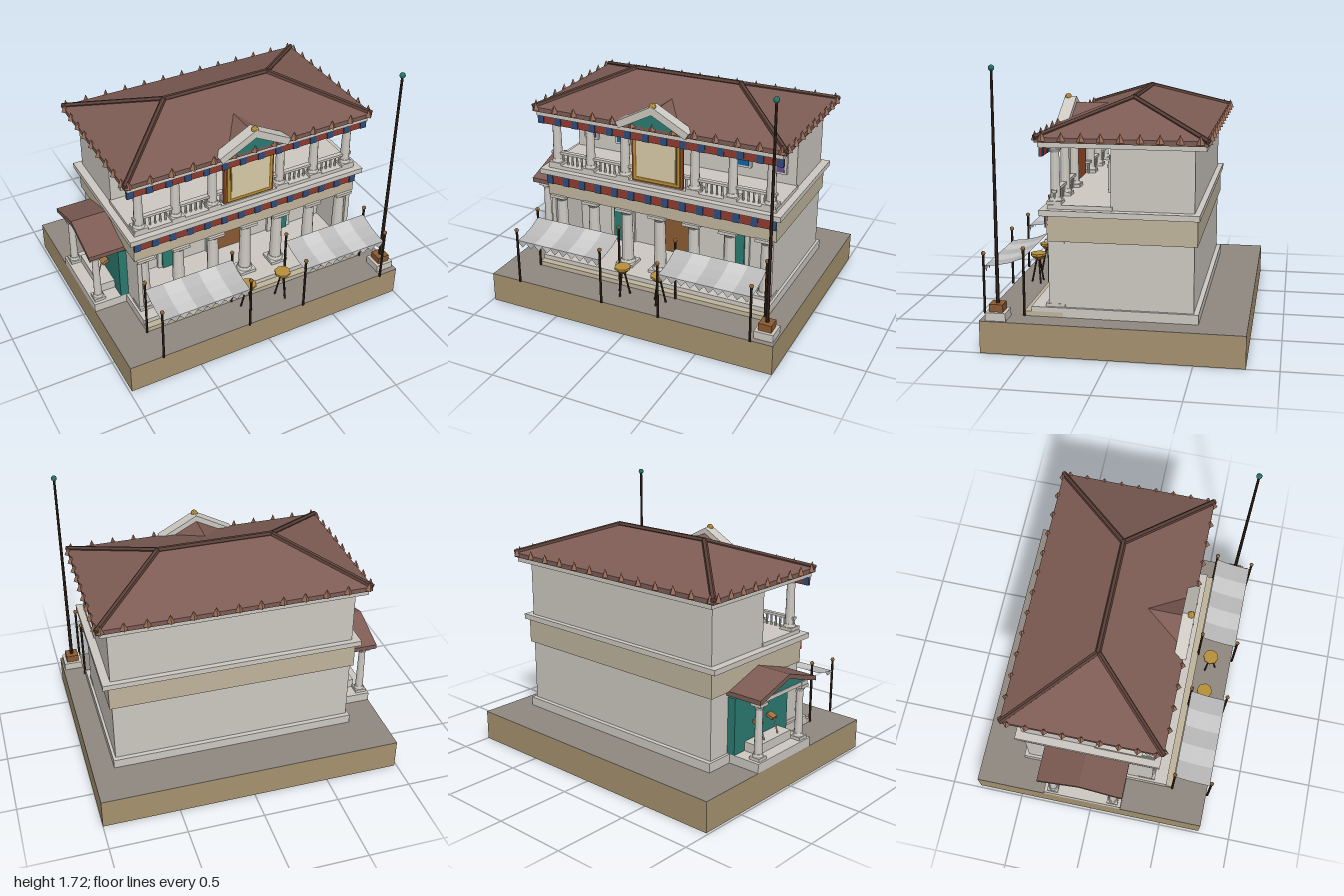
import * as THREE from 'three';
import { ConvexGeometry } from 'three/addons/geometries/ConvexGeometry.js';

const V = (x, y, z) => new THREE.Vector3(x, y, z);
const mats = {};
const mat = (color) => (mats[color] ??= new THREE.MeshStandardMaterial({ color, flatShading: true }));
const STONE = 0xcdc9c2, BEIGE = 0xbfb49c, ROOF = 0x7d5c54, RIDGE = 0x5a4038, TEAL = 0x2a7a70, WOOD = 0x8a5a32;
const RED = 0x8f3a2e, BLUE = 0x2c4c7c, GOLD = 0xb8903a, DARK = 0x3a2a20, COPPER = 0xa0703c, PURPLE = 0x6a4a90;

function add(parent, name, geo, color) {
  const m = new THREE.Mesh(geo, mat(color));
  m.name = name;
  parent.add(m);
  return m;
}
function group(parent, name, x = 0, y = 0, z = 0) {
  const g = new THREE.Group();
  g.name = name;
  g.position.set(x, y, z);
  parent.add(g);
  return g;
}
// box given by its limits
function box(p, name, color, x0, x1, y0, y1, z0, z1) {
  const m = add(p, name, new THREE.BoxGeometry(x1 - x0, y1 - y0, z1 - z0), color);
  m.position.set((x0 + x1) / 2, (y0 + y1) / 2, (z0 + z1) / 2);
  return m;
}
function cyl(p, name, color, x, z, y0, y1, r0, r1 = r0, sides = 12) {
  const m = add(p, name, new THREE.CylinderGeometry(r1, r0, y1 - y0, sides), color);
  m.position.set(x, (y0 + y1) / 2, z);
}
function ball(p, name, color, x, y, z, r) {
  add(p, name, new THREE.IcosahedronGeometry(r, 1), color).position.set(x, y, z);
}
// rod or beam between two points
function rod(p, name, color, a, b, r) {
  const m = add(p, name, new THREE.CylinderGeometry(r, r, a.distanceTo(b), 6), color);
  m.position.copy(a).lerp(b, 0.5);
  m.quaternion.setFromUnitVectors(V(0, 1, 0), b.clone().sub(a).normalize());
}
const outline = (pts) => new THREE.Shape(pts.map(([x, y]) => new THREE.Vector2(x, y)));
// flat shape extruded from z0 to z1
function slab(p, name, color, shape, z0, z1) {
  const m = add(p, name, new THREE.ExtrudeGeometry(shape, { depth: z1 - z0, bevelEnabled: false, curveSegments: 10 }), color);
  m.position.z = z0;
  return m;
}
function column(p, x, z, y0, y1, r) {
  const g = group(p, 'column', x, 0, z), w = r * 1.45;
  box(g, 'columnPlinth', STONE, -w, w, y0, y0 + 0.02, -w, w);
  cyl(g, 'columnBase', STONE, 0, 0, y0 + 0.02, y0 + 0.04, r * 1.3, r * 1.1);
  cyl(g, 'columnShaft', STONE, 0, 0, y0 + 0.04, y1 - 0.045, r, r * 0.84);
  cyl(g, 'columnCapital', STONE, 0, 0, y1 - 0.045, y1 - 0.02, r * 0.9, r * 1.35);
  box(g, 'columnAbacus', STONE, -w, w, y1 - 0.02, y1, -w, w);
}
function archShape(x, hw, y0, spring) {
  const s = new THREE.Shape();
  s.moveTo(x - hw, y0);
  s.lineTo(x + hw, y0);
  s.lineTo(x + hw, spring);
  s.absarc(x, spring, hw, 0, Math.PI, false);
  return s;
}
function archDoor(p, x, hw, spring, z, color, fan) {
  slab(p, 'doorSurround', STONE, archShape(x, hw + 0.03, 0.26, spring), z, z + 0.02);
  slab(p, 'doorFanlight', fan, archShape(x, hw, 0.26, spring), z, z + 0.027);
  if (fan !== color) box(p, 'doorLeaf', color, x - hw, x + hw, 0.26, spring, z, z + 0.032);
}
// red band with evenly spaced blue blocks
function frieze(p, hw, y0, y1, z0, z1) {
  box(p, 'friezeBand', RED, -hw, hw, y0, y1, z0, z1);
  const n = 14, w = 0.044;
  for (let i = 0; i < n; i++) {
    const x = -hw + w / 2 + (i * (2 * hw - w)) / (n - 1);
    box(p, 'friezeBlock', BLUE, x - w / 2, x + w / 2, y0, y1 + 0.001, z0 - 0.002, z1 + 0.006);
  }
}

function awning(p, x0, x1) {
  const g = group(p, 'awning'), n = 5, w = (x1 - x0) / n, h = w / 2;
  const sag = [[0.54, 0.56], [0.62, 0.526], [0.70, 0.508], [0.78, 0.50]];
  for (let i = 0; i < n; i++) {
    const color = i % 2 ? 0xe2e2e2 : 0xb8b8b8, xa = x0 + i * w;
    const geo = new THREE.PlaneGeometry(w, 1, 1, 3), pos = geo.attributes.position;
    for (let k = 0; k < pos.count; k++) {
      const [z, y] = sag[Math.floor(k / 2)];
      pos.setXYZ(k, xa + (k % 2) * w, y, z);
    }
    const cloth = add(g, 'awningCloth', geo, color);
    const hem = add(g, 'awningHem', new THREE.ShapeGeometry(outline(
      [[0, 0.5], [0, 0.49], [h / 2, 0.455], [h, 0.49], [1.5 * h, 0.455], [w, 0.49], [w, 0.5]]
        .map(([x, y]) => [xa + x, y]))), color);
    hem.position.z = 0.78;
    for (const m of [cloth, hem]) m.material.side = THREE.DoubleSide;
  }
  for (const x of [x0, x1]) for (const [z, top] of [[0.54, 0.61], [0.788, 0.57]]) {
    cyl(g, 'awningPost', DARK, x, z, 0.2, top, 0.008, 0.008, 8);
    ball(g, 'awningPostKnob', COPPER, x, top + 0.008, z, 0.014);
  }
}

function brazier(p, x) {
  const g = group(p, 'brazier', x, 0, 0.63);
  cyl(g, 'brazierBowl', COPPER, 0, 0, 0.355, 0.385, 0.022, 0.05, 8);
  cyl(g, 'brazierRim', GOLD, 0, 0, 0.385, 0.4, 0.053, 0.053, 8);
  for (let i = 0; i < 3; i++) {
    const a = Math.PI / 2 + (i * 2 * Math.PI) / 3, c = Math.cos(a), s = Math.sin(a);
    rod(g, 'brazierLeg', DARK, V(0.01 * c, 0.365, 0.01 * s), V(0.045 * c, 0.2, 0.045 * s), 0.006);
  }
}

function roof(p) {
  const g = group(p, 'roof'), hx = 0.865, zf = 0.445, zb = -0.565, zr = -0.06, rx = 0.37, pts = [];
  for (const s of [-1, 1]) {
    for (const z of [zf, zb]) {
      pts.push(V(s * hx, 1.27, z), V(s * hx, 1.3, z));
      rod(g, 'hipTile', RIDGE, V(s * hx, 1.3, z), V(s * rx, 1.485, zr), 0.018);
    }
    pts.push(V(s * rx, 1.485, zr));
  }
  add(g, 'roofHip', new ConvexGeometry(pts), ROOF);
  rod(g, 'ridgeTile', RIDGE, V(-rx - 0.01, 1.485, zr), V(rx + 0.01, 1.485, zr), 0.018);
  // pointed ornaments along the eaves
  const spike = (x, z) => cyl(g, 'eaveOrnament', 0x9a6c58, x, z, 1.28, 1.335, 0.024, 0.001, 4);
  for (let i = -6; i <= 6; i++) for (const z of [zf, zb]) spike(i * 0.14, z);
  for (let i = -4; i <= 4; i++) for (const s of [-1, 1]) spike(s * hx, zr + i * 0.115);
  // small gable over the sign
  slab(g, 'gableRoof', ROOF, outline([[-0.21, 1.29], [0.21, 1.29], [0, 1.4]]), 0, 0.39);
  slab(g, 'gablePanel', TEAL, outline([[-0.2, 1.295], [0.2, 1.295], [0, 1.4]]), 0.38, 0.45);
  slab(g, 'gableRake', STONE, outline([[-0.25, 1.305], [-0.228, 1.265], [0, 1.385], [0.228, 1.265], [0.25, 1.305], [0, 1.44]]), 0.385, 0.462);
  ball(g, 'gableFinial', GOLD, 0, 1.435, 0.44, 0.023);
}

function sidePorch(p) {
  const g = group(p, 'sidePorch', 0, 0, -0.055);
  box(g, 'porchStep', STONE, -0.985, -0.74, 0.2, 0.26, -0.27, 0.27);
  box(g, 'porchInnerStep', STONE, -0.905, -0.74, 0.26, 0.32, -0.17, 0.17);
  box(g, 'porchDoorPanel', TEAL, -0.8, -0.74, 0.26, 0.63, -0.27, 0.27);
  for (const s of [-1, 1]) {
    column(g, -0.935, s * 0.21, 0.26, 0.63, 0.026);
    box(g, 'porchBeam', STONE, -0.97, -0.74, 0.63, 0.655, s * 0.21 - 0.03, s * 0.21 + 0.03);
    // angled holder with a brown block
    rod(g, 'holderArm', STONE, V(-0.875, 0.32, s * 0.07), V(-0.845, 0.415, s * 0.07), 0.005);
    box(g, 'holderBlock', COPPER, -0.85, -0.8, 0.415, 0.435, s * 0.07 - 0.025, s * 0.07 + 0.025).rotation.z = 0.4;
    // sloping roof plate
    const plate = slab(g, 'porchRoofSlope', ROOF, outline([[0, 0.735], [0, 0.765], [s * 0.285, 0.675], [s * 0.285, 0.645]]), 0, 0.27);
    plate.rotation.y = -Math.PI / 2;
    plate.position.x = -0.73;
  }
  box(g, 'porchFrontBeam', STONE, -0.965, -0.905, 0.63, 0.655, -0.24, 0.24);
  const gable = slab(g, 'porchGable', TEAL, outline([[-0.25, 0.652], [0.25, 0.652], [0, 0.738]]), 0, 0.22);
  gable.rotation.y = -Math.PI / 2;
  gable.position.x = -0.74;
}

export function createModel() {
  const root = new THREE.Group();
  root.name = 'townHouse';
  box(root, 'groundBase', 0xa5916e, -0.985, 1, 0, 0.196, -0.805, 0.78);
  box(root, 'groundPaving', 0x8f8880, -0.985, 1, 0.196, 0.2, -0.805, 0.78);

  const h = group(root, 'house', 0.047);
  box(h, 'frontStep', BEIGE, -0.81, 0.81, 0.2, 0.23, 0.3, 0.54);
  box(h, 'plinth', STONE, -0.81, 0.81, 0.2, 0.26, -0.515, 0.495);

  // ground floor with deep portico
  const wz = 0.06;
  box(h, 'groundFloor', STONE, -0.792, 0.792, 0.26, 0.68, -0.485, wz);
  for (const s of [-1, 1]) {
    const x = s * 0.777;
    box(h, 'porticoSideWall', STONE, x - 0.015, x + 0.015, 0.26, 0.68, wz, 0.39);
    archDoor(h, s * 0.425, 0.06, 0.52, wz, TEAL, s < 0 ? PURPLE : 0x1a1a9a);
  }
  archDoor(h, 0, 0.118, 0.468, wz, WOOD, WOOD);
  for (const x of [-0.735, -0.49, -0.24, 0, 0.24, 0.49, 0.735]) column(h, x, 0.35, 0.26, 0.675, 0.041);
  box(h, 'beamBand', BEIGE, -0.81, 0.81, 0.67, 0.83, -0.505, 0.392);
  frieze(h, 0.81, 0.755, 0.829, 0.385, 0.4);
  box(h, 'balconyCornice', STONE, -0.845, 0.845, 0.83, 0.865, -0.52, 0.432);
  box(h, 'balconyFloor', STONE, -0.8, 0.8, 0.865, 0.89, 0, 0.39);

  // upper floor and balcony
  box(h, 'upperFloor', STONE, -0.792, 0.792, 0.865, 1.25, -0.485, 0.01);
  for (const s of [-1, 1]) {
    for (const [x, color] of [[0.68, PURPLE], [0.44, 0x1462a4]]) {
      box(h, 'windowFrame', STONE, s * x - 0.052, s * x + 0.052, 0.96, 1.145, 0.01, 0.035);
      box(h, 'windowPane', color, s * x - 0.038, s * x + 0.038, 0.975, 1.13, 0.01, 0.04);
    }
    for (const x of [0.245, 0.5, 0.75]) column(h, s * x, 0.35, 0.89, 1.245, 0.031);
    const a = s * 0.165, b = s * 0.79;
    box(h, 'balconyRail', STONE, Math.min(a, b), Math.max(a, b), 0.96, 0.977, 0.335, 0.365);
    for (let i = 0; i < 18; i++) cyl(h, 'baluster', STONE, s * (0.185 + i * 0.035), 0.35, 0.89, 0.96, 0.007, 0.007, 6);
  }
  box(h, 'upperCornice', STONE, -0.845, 0.845, 1.24, 1.272, -0.555, 0.432);
  frieze(h, 0.845, 1.185, 1.24, 0.404, 0.416);

  // framed sign
  box(h, 'signOuterFrame', 0x9a4a28, -0.178, 0.178, 0.893, 1.225, 0.365, 0.385);
  box(h, 'signFrame', GOLD, -0.163, 0.163, 0.908, 1.22, 0.385, 0.4);
  box(h, 'signInnerFrame', 0x8a6a24, -0.145, 0.145, 0.925, 1.205, 0.385, 0.403);
  box(h, 'signPanel', 0xd8cba8, -0.135, 0.135, 0.938, 1.195, 0.385, 0.406);

  roof(h);
  awning(h, -0.81, -0.2);
  awning(h, 0.2, 0.81);
  for (const s of [-1, 1]) brazier(h, s * 0.128);
  sidePorch(root);

  // flagpole
  const f = group(root, 'flagpole', 0.925, 0, 0.683);
  box(f, 'poleFoot', STONE, -0.062, 0.062, 0.2, 0.25, -0.062, 0.062);
  box(f, 'poleBlock', WOOD, -0.042, 0.042, 0.25, 0.297, -0.042, 0.042);
  cyl(f, 'pole', DARK, 0, 0, 0.297, 1.69, 0.012, 0.008, 8);
  ball(f, 'poleKnob', TEAL, 0, 1.697, 0, 0.019);
  return root;
}
